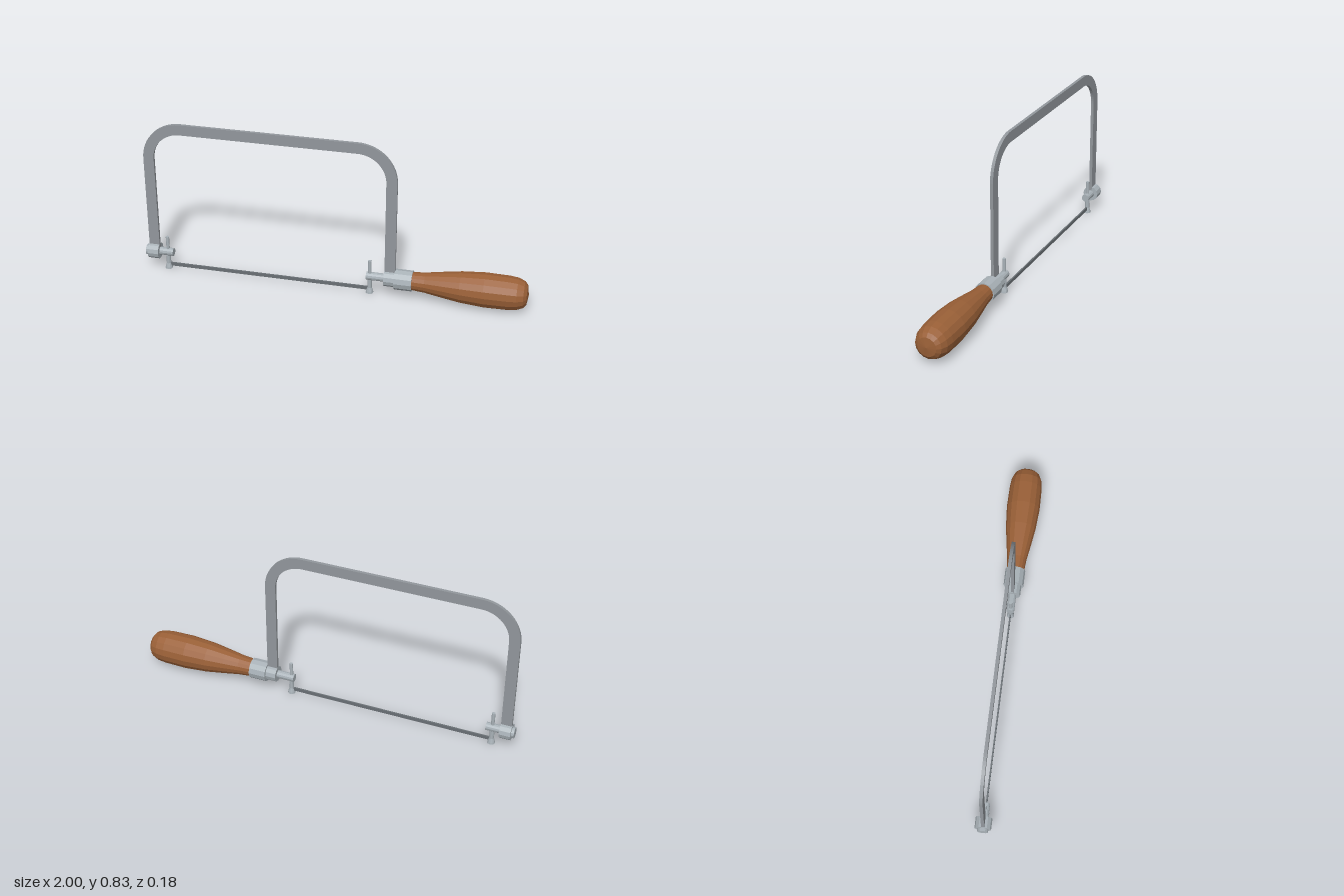
import * as THREE from 'three';

const mat = (name, color) => {
  const m = new THREE.MeshStandardMaterial({ color, flatShading: true });
  m.name = name;
  return m;
};

export function createModel() {
  const frameSteel = mat('frame steel', 0x92979c);
  const brightSteel = mat('bright steel', 0xa9b2b8);
  const bladeSteel = mat('blade steel', 0x6a7075);
  const wood = mat('handle wood', 0x9a6037);
  const saw = new THREE.Group();
  saw.name = 'copingSaw';
  const axisY = 0.096;

  const add = (name, geometry, material, parent = saw) => {
    const mesh = new THREE.Mesh(geometry, material);
    mesh.name = name;
    parent.add(mesh);
    return mesh;
  };

  // Turned part along x, profile given as [x, radius] from left to right
  const turned = (name, profile, sides, material) => {
    const g = new THREE.LatheGeometry(profile.map(([x, r]) => new THREE.Vector2(r, x)), sides);
    g.rotateZ(-Math.PI / 2).translate(0, axisY, 0);
    return add(name, g, material);
  };
  const rod = (name, x0, x1, r, sides = 12) =>
    turned(name, [[x0, 0], [x0, r], [x1, r], [x1, 0]], sides, brightSteel);

  // Bent flat-bar frame: outer arch, then back along the inner arch
  const L = -0.983, R = 0.326, T = 0.835, w = 0.055, rad = 0.2, foot = 0.1;
  const s = new THREE.Shape();
  s.moveTo(L, foot);
  s.lineTo(L, T - rad);
  s.absarc(L + rad, T - rad, rad, Math.PI, Math.PI / 2, true);
  s.absarc(R - rad, T - rad, rad, Math.PI / 2, 0, true);
  s.lineTo(R, foot);
  s.lineTo(R - w, foot);
  s.absarc(R - rad, T - rad, rad - w, 0, Math.PI / 2, false);
  s.absarc(L + rad, T - rad, rad - w, Math.PI / 2, Math.PI, false);
  s.lineTo(L + w, foot);
  s.closePath();
  const bar = new THREE.ExtrudeGeometry(s, { depth: 0.016, bevelEnabled: false, curveSegments: 8 });
  add('frame', bar.translate(0, 0, -0.008), frameSteel);

  // Collars, end cap and blade-holder rods
  rod('leftCap', -1, -0.984, 0.028);
  rod('leftCollar', -0.985, -0.928, 0.042);
  rod('leftRod', -0.93, -0.854, 0.021);
  rod('rightRod', 0.177, 0.272, 0.021);
  rod('rightCollar', 0.27, 0.327, 0.042);

  // Cross pins with flared feet that hold the blade
  for (const [name, x] of [['leftPin', -0.885], ['rightPin', 0.194]]) {
    const profile = [[0, 0], [0.02, 0], [0.018, 0.01], [0.012, 0.03], [0.012, 0.085],
      [0.009, 0.09], [0.009, 0.185], [0, 0.185]];
    const g = new THREE.LatheGeometry(profile.map(([r, y]) => new THREE.Vector2(r, y)), 10);
    add(name, g.translate(x, 0, 0), brightSteel);
  }

  // Thin blade
  const blade = new THREE.BoxGeometry(1.079, 0.018, 0.008);
  add('blade', blade.translate(-0.3455, 0.024, 0), bladeSteel);

  // Ferrule and turned wooden handle
  rod('ferrule', 0.325, 0.415, 0.053);
  turned('handle', [[0.41, 0], [0.41, 0.046], [0.48, 0.052], [0.56, 0.065], [0.66, 0.08],
    [0.78, 0.089], [0.9, 0.087], [0.945, 0.082], [0.978, 0.068], [0.993, 0.049], [1, 0]], 16, wood);

  return saw;
}
